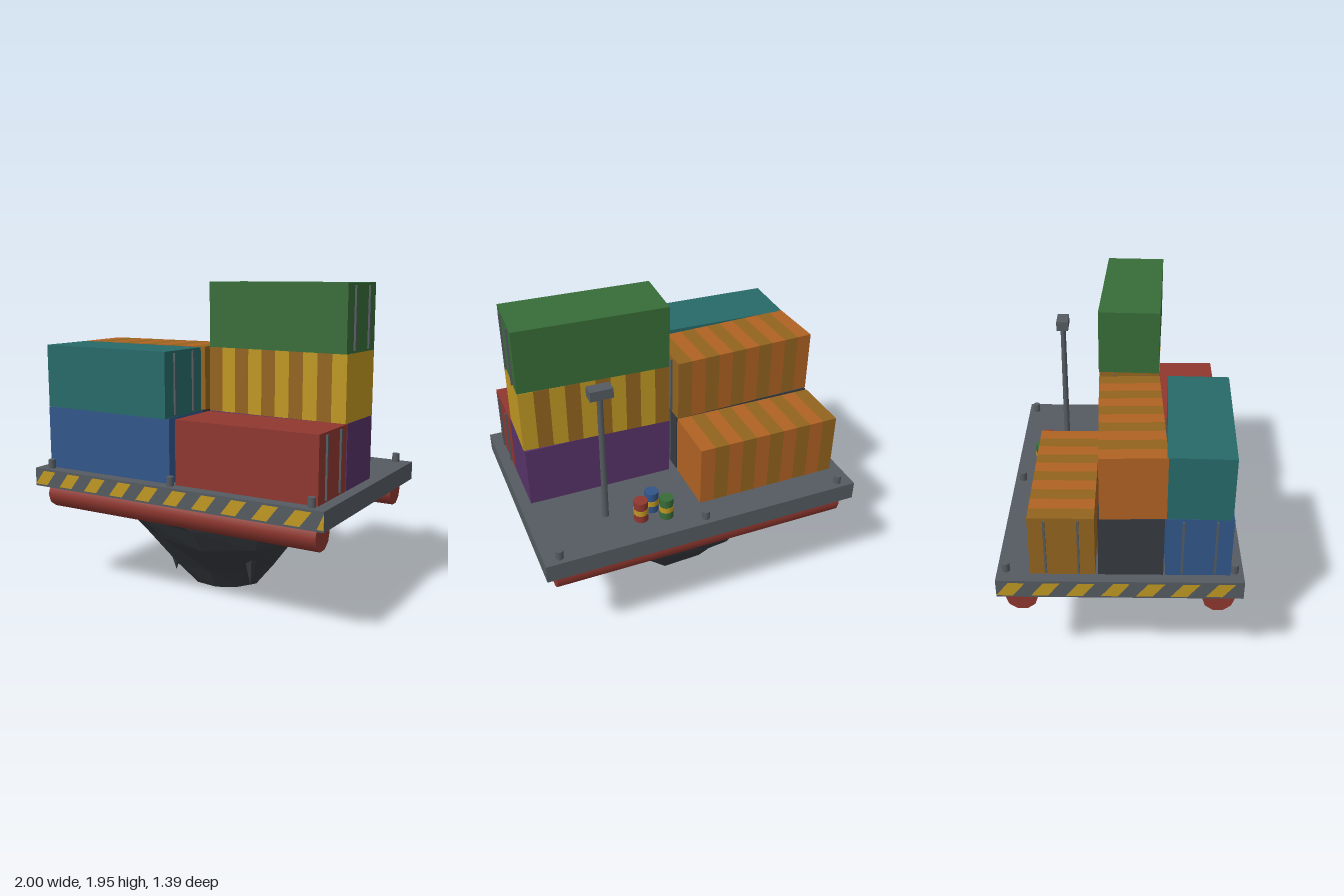
import * as THREE from 'three';

const mat = (name, color) => {
  const m = new THREE.MeshStandardMaterial({ color });
  m.name = name;
  return m;
};

export function createModel() {
  const model = new THREE.Group();
  model.name = 'floatingCargoPlatform';
  const M = {
    steel: mat('steelGrey', 0x555b61),
    rock: mat('darkRock', 0x363a3f),
    red: mat('red', 0x8f372f),
    blue: mat('blue', 0x315689),
    teal: mat('teal', 0x266a69),
    orange: mat('orange', 0xb06223),
    yellow: mat('yellow', 0xbf9722),
    green: mat('green', 0x386c38),
    purple: mat('purple', 0x573369),
    ochre: mat('darkOchre', 0x93641f),
  };
  const add = (parent, name, geo, material, x = 0, y = 0, z = 0) => {
    const m = new THREE.Mesh(geo, material);
    m.name = name;
    m.position.set(x, y, z);
    parent.add(m);
    return m;
  };
  const box = (w, h, d) => new THREE.BoxGeometry(w, h, d);

  // Deck slab
  const deckTop = 0.785;
  add(model, 'deck', box(2, 0.115, 1.39), M.steel, 0, 0.7275, 0);

  // Slanted hazard stripes on the front and one end of the deck
  const hazard = (length) => {
    const shapes = [];
    const h = 0.045, lean = 0.07, end = length / 2;
    for (let x = -end; x < end - 0.02; x += 0.196) {
      const c = (v) => Math.min(v, end);
      shapes.push(new THREE.Shape([
        new THREE.Vector2(x, -h), new THREE.Vector2(c(x + 0.095), -h),
        new THREE.Vector2(c(x + 0.095 + lean), h), new THREE.Vector2(c(x + lean), h),
      ]));
    }
    return new THREE.ShapeGeometry(shapes);
  };
  add(model, 'frontHazardStripes', hazard(2), M.yellow, 0, 0.7275, 0.698);
  add(model, 'sideHazardStripes', hazard(1.39), M.yellow, -1.003, 0.7275, 0).rotation.y = -Math.PI / 2;

  // Round beams under the deck
  for (const s of [-1, 1]) {
    add(model, 'underBeam', new THREE.CylinderGeometry(0.093, 0.093, 1.87, 10), M.red, 0, 0.612, s * 0.563)
      .rotation.z = Math.PI / 2;
  }

  // Rock keel: uneven rings closing on a low point
  const rings = [ // y, centre x, centre z, radius x, radius z
    [0.67, -0.04, 0.01, 0.76, 0.67],
    [0.5, -0.035, 0, 0.655, 0.58],
    [0.37, 0, 0, 0.53, 0.5],
    [0.175, -0.025, -0.015, 0.39, 0.335],
    [0.035, 0, 0.015, 0.235, 0.205],
    [0, 0.06, 0.015, 0.02, 0.02],
  ];
  const sides = 10, pos = [], idx = [];
  rings.forEach(([y, cx, cz, rx, rz], r) => {
    for (let i = 0; i < sides; i++) {
      const a = (i / sides) * Math.PI * 2 + 0.1;
      const k = 1 + 0.035 * Math.sin(i * 2.7 + r * 1.9);
      const dy = r > 0 && r < 4 ? 0.015 * Math.sin(i * 4.1 + r) : 0;
      pos.push(cx + Math.cos(a) * rx * k, y + dy, cz + Math.sin(a) * rz * k);
      if (r < rings.length - 1) {
        const p = r * sides + i, q = r * sides + (i + 1) % sides;
        idx.push(p, q, p + sides, q, q + sides, p + sides);
      }
    }
  });
  const indexed = new THREE.BufferGeometry();
  indexed.setAttribute('position', new THREE.Float32BufferAttribute(pos, 3));
  // close the tip
  for (let i = 1; i < sides - 1; i++) idx.push(50, 50 + i, 50 + i + 1);
  indexed.setIndex(idx);
  const rock = indexed.toNonIndexed();
  rock.computeVertexNormals();
  add(model, 'rockKeel', rock, M.rock);

  // Hanging shards
  for (const [x, y, z, r, h] of [[0.315, 0.215, 0.245, 0.05, 0.23], [-0.265, 0.135, 0.2, 0.028, 0.09]]) {
    const g = new THREE.ConeGeometry(r, h, 5).toNonIndexed();
    g.computeVertexNormals();
    add(model, 'rockShard', g, M.rock, x, y, z).rotation.x = Math.PI;
  }

  // Cargo containers: doors on local +x, ribbed ones alternate two colours
  const L = 0.91, H = 0.388, W = 0.365;
  const container = (name, color, x, level, z, turn, flip, ribbed) => {
    const g = new THREE.Group();
    g.name = name;
    g.position.set(x, deckTop + H * (level + 0.5), z);
    g.rotation.y = turn + (flip ? Math.PI : 0);
    model.add(g);
    if (ribbed) {
      const n = 10, w = L / n;
      for (let i = 0; i < n; i++) {
        add(g, 'ribPanel', box(w, H, W), i % 2 ? M.ochre : color, -L / 2 + w * (i + 0.5), 0, 0);
      }
    } else {
      add(g, 'containerBody', box(L, H, W), color);
    }
    for (const s of [-1, 1]) add(g, 'doorRod', box(0.014, 0.36, 0.012), M.steel, L / 2 + 0.005, 0, s * 0.092);
  };
  const xl = -0.48, xr = 0.475;
  container('blueContainer', M.blue, xl, 0, 0.435, 0.004, true);
  container('tealContainer', M.teal, xl, 1, 0.443, -0.035, false);
  container('darkContainer', M.rock, xl, 0, 0.06, 0, false);
  container('upperOrangeContainer', M.orange, xl, 1, 0.057, 0.03, false, true);
  container('lowerOrangeContainer', M.orange, xl, 0, -0.322, 0, true, true);
  container('redContainer', M.red, xr, 0, 0.437, 0, false);
  container('purpleContainer', M.purple, xr, 0, 0.062, 0, true);
  container('yellowContainer', M.yellow, xr, 1, 0.06, -0.035, true, true);
  container('greenContainer', M.green, xr, 2, 0.06, -0.045, false);

  // Bollards along the front and back edges
  for (const x of [-0.905, 0, 0.905]) {
    for (const z of [-0.645, 0.645]) {
      add(model, 'bollard', new THREE.CylinderGeometry(0.023, 0.023, 0.055, 10), M.steel, x, deckTop + 0.0275, z);
    }
  }

  // Lamp mast
  add(model, 'mast', new THREE.CylinderGeometry(0.017, 0.02, 0.86, 8), M.steel, 0.545, 1.21, -0.395);
  add(model, 'lampHead', box(0.135, 0.06, 0.075), M.steel, 0.543, 1.655, -0.395);

  // Drums with a painted band
  for (const [color, x, z] of [['green', 0.21, -0.535], ['red', 0.36, -0.505], ['blue', 0.27, -0.445]]) {
    add(model, color + 'Drum', new THREE.CylinderGeometry(0.043, 0.043, 0.14, 12), M[color], x, deckTop + 0.07, z);
    add(model, 'drumBand', new THREE.CylinderGeometry(0.045, 0.045, 0.036, 12), M.yellow, x, deckTop + 0.068, z);
  }

  return model;
}
